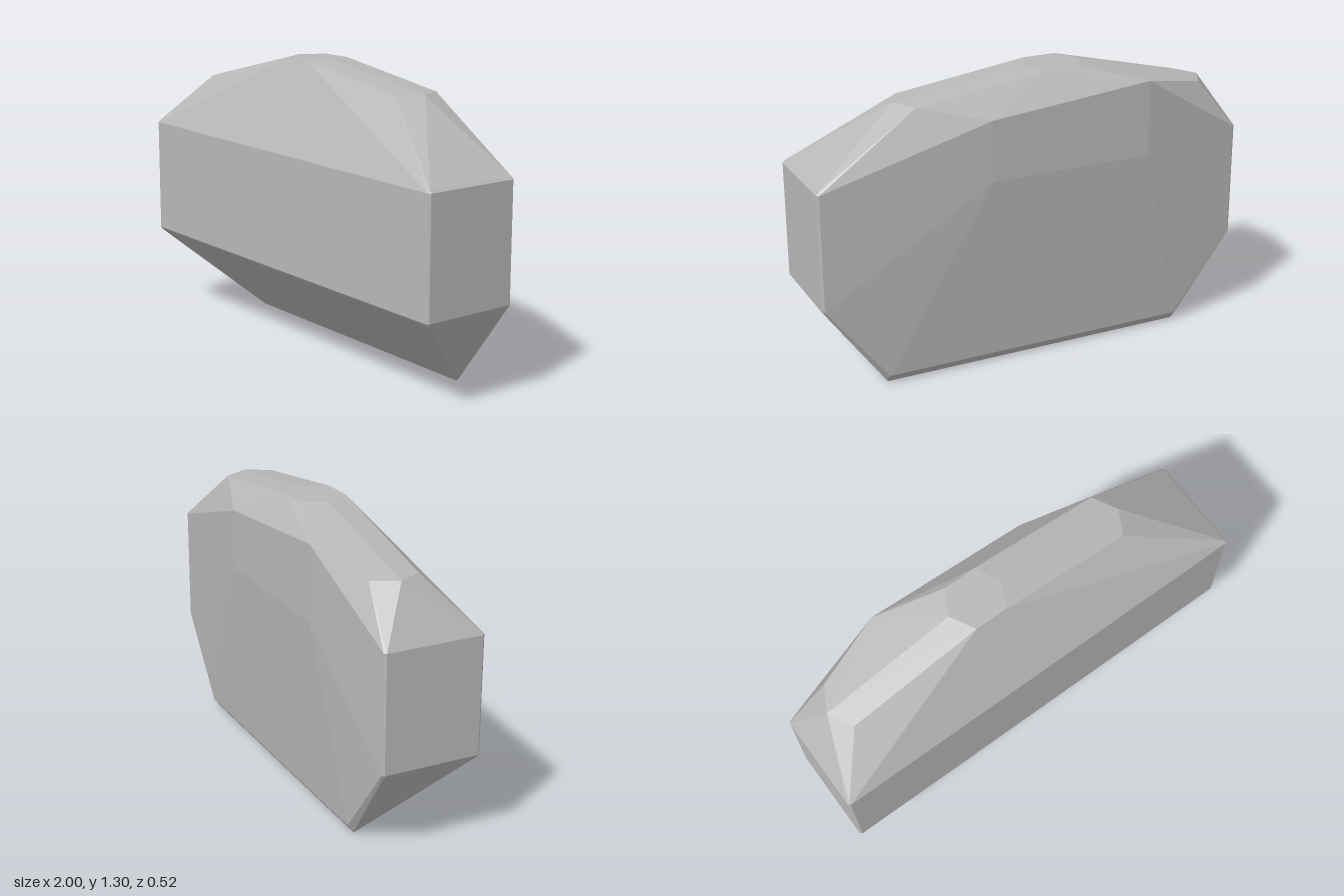
import * as THREE from 'three';
import { ConvexGeometry } from 'three/addons/geometries/ConvexGeometry.js';

// Faceted boulder: the convex skin around a few cut planes.
export function createModel() {
  const group = new THREE.Group();
  group.name = 'boulder';
  const stone = new THREE.MeshStandardMaterial({ color: 0xb8b8b8 });
  stone.name = 'grey stone';

  const points = [];
  const add = (x, y, z) => points.push(new THREE.Vector3(x, y, z));

  // Block body with narrow bevels, and the foot it tapers down to
  for (const s of [-1, 1]) {
    for (const [y, out] of [[0.4, -0.013], [0.92, 0.01]]) {
      add(s * 0.99, y, 0.26);
      add(s, y, 0.25);
      add(s * 0.99, y + out, 0.25);
      add(s, y, -0.18);
      add(s * 0.99, y + out, -0.18);
      add(s * 0.99, y, -0.19);
    }
    add(s * 0.71, 0, -0.16);
    add(s * 0.72, 0.01, -0.165);
    add(s * 0.71, 0.04, -0.19);
  }

  // Crown: chamfered ends along the ridge, [chamfer x, ridge x, y]
  for (const [x, ridge, y] of [[-0.81, -0.87, 1.15], [-0.2, -0.26, 1.3], [-0.05, 0, 1.3], [0.55, 0.61, 1.22]]) {
    add(x, y, 0.06);
    add(ridge, y, -0.05);
    add(x, y, -0.16);
  }

  // Raised back plane
  for (const [x, top] of [[-0.5, 1.22], [0.25, 1.15]]) {
    add(x, top, -0.26);
    add(x, 0.88, -0.26);
  }

  const rock = new THREE.Mesh(new ConvexGeometry(points), stone);
  rock.name = 'rock';
  group.add(rock);
  return group;
}
